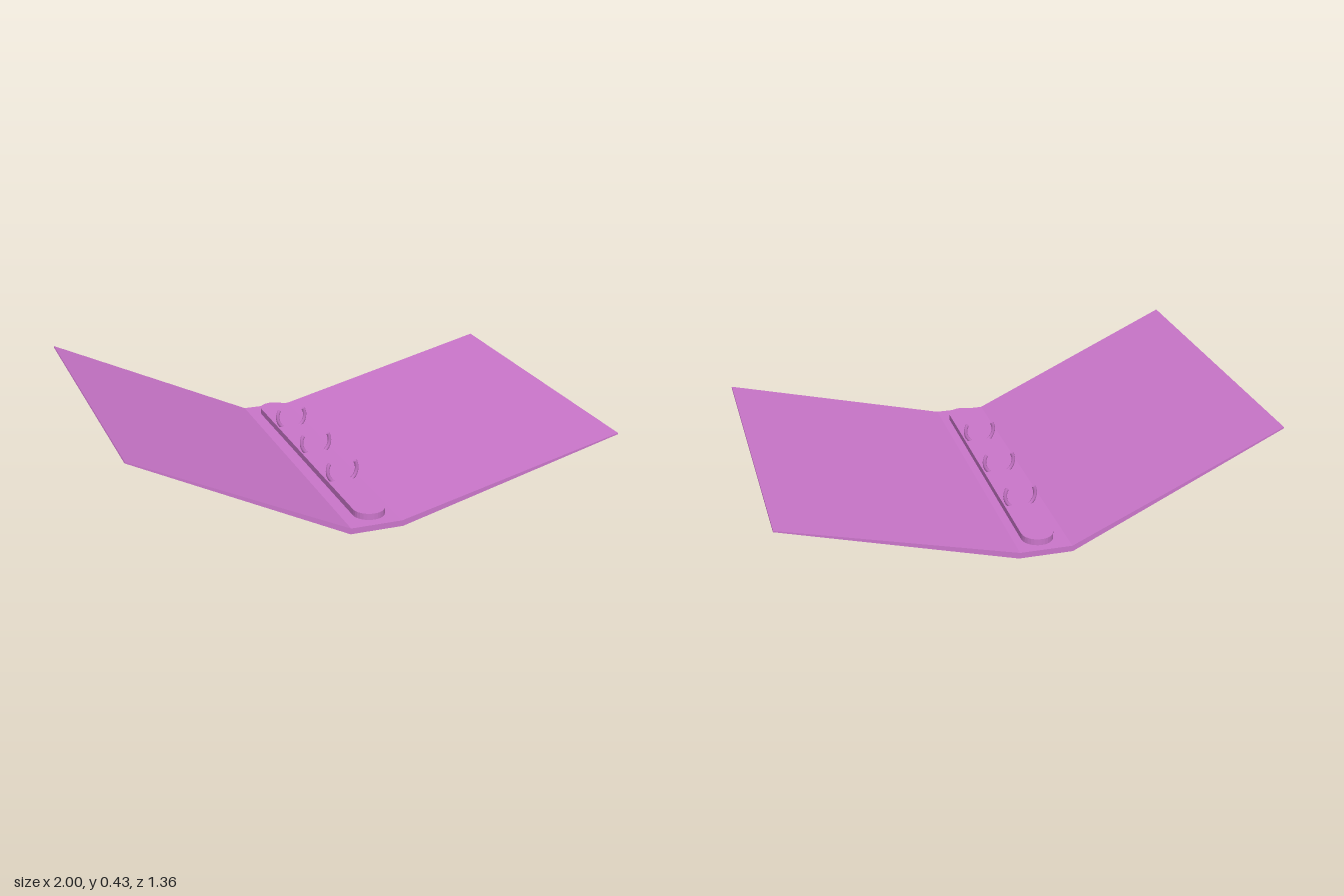
import * as THREE from 'three';

const material = new THREE.MeshStandardMaterial({ color: 0xcc77cc, flatShading: true });
const ringMaterial = new THREE.MeshStandardMaterial({ color: 0xcc77cc });
const CENTER_X = -0.03;

function polygon(points) {
  return new THREE.Shape(points.map(([x, y]) => new THREE.Vector2(x, y)));
}

// Extrudes a front-facing outline along z, centred on z = 0
function panel(name, points, length) {
  const geometry = new THREE.ExtrudeGeometry(polygon(points), { depth: length, bevelEnabled: false });
  geometry.translate(0, 0, -length / 2);
  const mesh = new THREE.Mesh(geometry, material);
  mesh.name = name;
  return mesh;
}

// C-shaped ring, open at the top, with capped tips
function ring(z) {
  const group = new THREE.Group();
  group.name = 'ring';
  const radius = 0.063, tube = 0.008, gapAngle = Math.PI / 6;
  const arc = new THREE.Mesh(new THREE.TorusGeometry(radius, tube, 8, 24, Math.PI + 2 * gapAngle), ringMaterial);
  arc.name = 'ringArc';
  arc.rotation.z = Math.PI - gapAngle;
  group.add(arc);
  for (const side of [-1, 1]) {
    const cap = new THREE.Mesh(new THREE.CircleGeometry(tube, 8), ringMaterial);
    cap.name = 'ringTip';
    cap.position.set(side * radius * Math.cos(gapAngle), radius * Math.sin(gapAngle), 0);
    // the cap looks along the arc's end direction
    cap.lookAt(cap.position.clone().add(new THREE.Vector3(-side * Math.sin(gapAngle), Math.cos(gapAngle), 0)));
    group.add(cap);
  }
  group.position.set(CENTER_X - 0.001, 0.094, z);
  return group;
}

export function createModel() {
  const model = new THREE.Group();
  model.name = 'ringBinder';
  const length = 1.362;

  // Spine and the two covers, thinning toward their outer edges
  model.add(
    panel('spine', [[-0.145, 0], [0.072, 0], [0.068, 0.024], [-0.143, 0.024]], length),
    panel('rightCover', [[-1, 0.42], [-0.145, 0], [-0.143, 0.024], [-0.998, 0.425]], length),
    panel('leftCover', [[0.072, 0], [1, 0.252], [0.999, 0.257], [0.068, 0.024]], length)
  );

  // Long mounting plate with rounded ends
  const radius = 0.064, half = 0.577;
  const outline = new THREE.Shape();
  outline.absarc(0, half, radius, 0, Math.PI, false);
  outline.absarc(0, -half, radius, Math.PI, 2 * Math.PI, false);
  const plateGeometry = new THREE.ExtrudeGeometry(outline, { depth: 0.027, bevelEnabled: false, curveSegments: 7 });
  plateGeometry.rotateX(-Math.PI / 2);
  const plate = new THREE.Mesh(plateGeometry, material);
  plate.name = 'ringPlate';
  plate.position.set(CENTER_X, 0.023, -0.003);
  model.add(plate);

  // Three open rings
  for (const z of [-0.344, -0.027, 0.29]) model.add(ring(z));
  return model;
}
